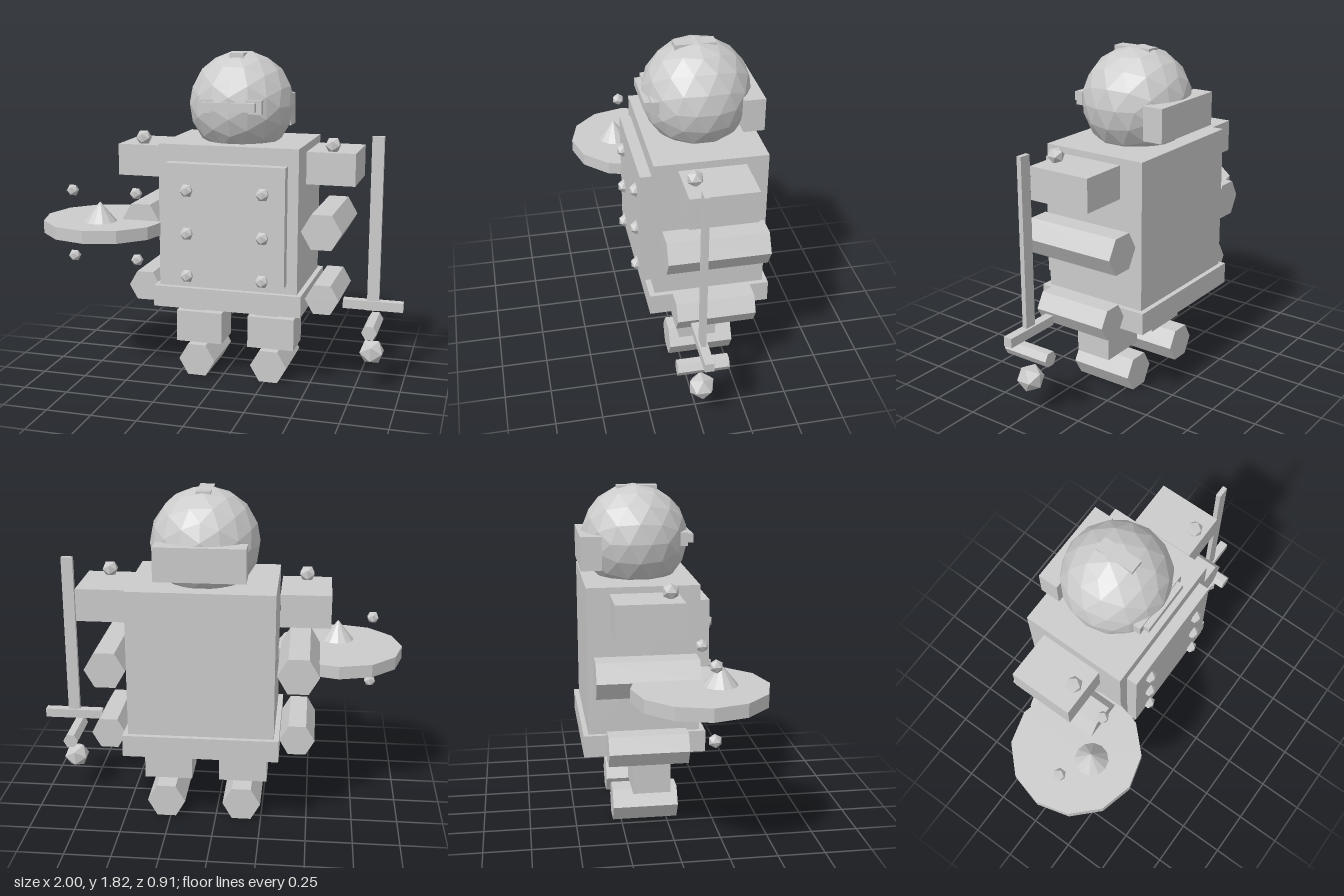
import * as THREE from 'three';

export function createModel() {
  const model = new THREE.Group();
  model.name = 'blockyKnight';
  const grey = new THREE.MeshStandardMaterial({ color: 0xcccccc, flatShading: true });
  const MID = 0.065; // centre line of the body

  function add(name, geometry, x, y, z, parent = model) {
    const mesh = new THREE.Mesh(geometry, grey);
    mesh.name = name;
    mesh.position.set(x, y, z);
    parent.add(mesh);
    return mesh;
  }

  // Box given by its extents
  function box(name, x0, x1, y0, y1, z0, z1, parent) {
    return add(name, new THREE.BoxGeometry(x1 - x0, y1 - y0, z1 - z0),
      (x0 + x1) / 2, (y0 + y1) / 2, (z0 + z1) / 2, parent);
  }

  // Hexagonal bar lying along z, flat side down
  function hexBar(name, x, y, radius, z0, z1, parent) {
    const geometry = new THREE.CylinderGeometry(radius, radius, z1 - z0, 6);
    geometry.rotateY(Math.PI / 6).rotateX(Math.PI / 2);
    return add(name, geometry, x, y, (z0 + z1) / 2, parent);
  }

  function stud(name, x, y, z, radius, parent) {
    return add(name, new THREE.IcosahedronGeometry(radius, 0), x, y, z, parent);
  }

  function group(name) {
    const g = new THREE.Group();
    g.name = name;
    model.add(g);
    return g;
  }

  // Torso, belt and riveted chest plate
  box('torso', MID - 0.385, MID + 0.385, 0.5, 1.337, -0.43, 0.16);
  box('belt', MID - 0.412, MID + 0.412, 0.435, 0.552, -0.457, 0.19);
  box('chestPlate', MID - 0.327, MID + 0.327, 0.6, 1.245, 0.13, 0.22);
  for (const x of [-0.208, 0.208]) {
    for (const y of [1.1, 0.865, 0.63]) stud('chestRivet', MID + x, y, 0.223, 0.038);
  }

  // Helmet with visor, crest and neck guard
  const helmet = group('helmet');
  add('head', new THREE.IcosahedronGeometry(0.289, 2), MID, 1.532, -0.135, helmet);
  box('visorFrame', MID - 0.175, MID + 0.175, 1.505, 1.577, 0.09, 0.13, helmet);
  box('visorSlit', MID - 0.146, MID + 0.146, 1.518, 1.565, 0.1, 0.163, helmet);
  box('crest', MID - 0.038, MID + 0.038, 1.75, 1.812, -0.23, -0.015, helmet);
  box('neckGuard', MID - 0.235, MID + 0.235, 1.395, 1.573, -0.443, -0.332, helmet);

  // Arms and legs, mirrored about the centre line
  for (const side of [-1, 1]) {
    const label = side < 0 ? 'right' : 'left';
    const arm = group(label + 'Arm');
    const armX = MID + side * 0.505;
    const shoulderX = MID + side * 0.532;
    box('shoulderPad', shoulderX - 0.131, shoulderX + 0.131, 1.133, 1.307, -0.31, 0.04, arm);
    stud('shoulderStud', shoulderX, 1.34, -0.017, 0.045, arm);
    hexBar('upperArm', armX, 0.895, 0.11, -0.4, 0.13, arm);
    hexBar('forearm', armX, 0.51, 0.093, -0.34, 0.077, arm);

    const leg = group(label + 'Leg');
    const legX = MID + side * 0.208;
    hexBar('thigh', legX, 0.506, 0.12, -0.37, 0.105, leg);
    box('shin', legX - 0.132, legX + 0.132, 0.18, 0.36, -0.19, 0.015, leg);
    hexBar('foot', legX, 0.09, 0.104, -0.295, 0.06, leg);
  }

  // Round shield lying flat, with a pointed boss and loose rivets
  const shield = group('shield');
  add('shieldDisc', new THREE.CylinderGeometry(0.35, 0.35, 0.07, 12), -0.65, 0.865, 0.105, shield);
  add('shieldBoss', new THREE.ConeGeometry(0.09, 0.11, 12), -0.647, 0.955, 0.205, shield);
  for (const x of [-0.834, -0.459]) {
    for (const y of [1.052, 0.677]) stud('shieldRivet', x, y, 0.145, 0.035, shield);
  }

  // Sword standing upright
  const sword = group('sword');
  box('blade', 0.804, 0.868, 0.45, 1.397, -0.026, 0, sword);
  box('guard', 0.674, 0.998, 0.455, 0.505, -0.038, 0.01, sword);
  hexBar('grip', 0.836, 0.36, 0.042, -0.15, 0.118, sword);
  stud('pommel', 0.836, 0.213, -0.014, 0.073, sword);

  return model;
}
